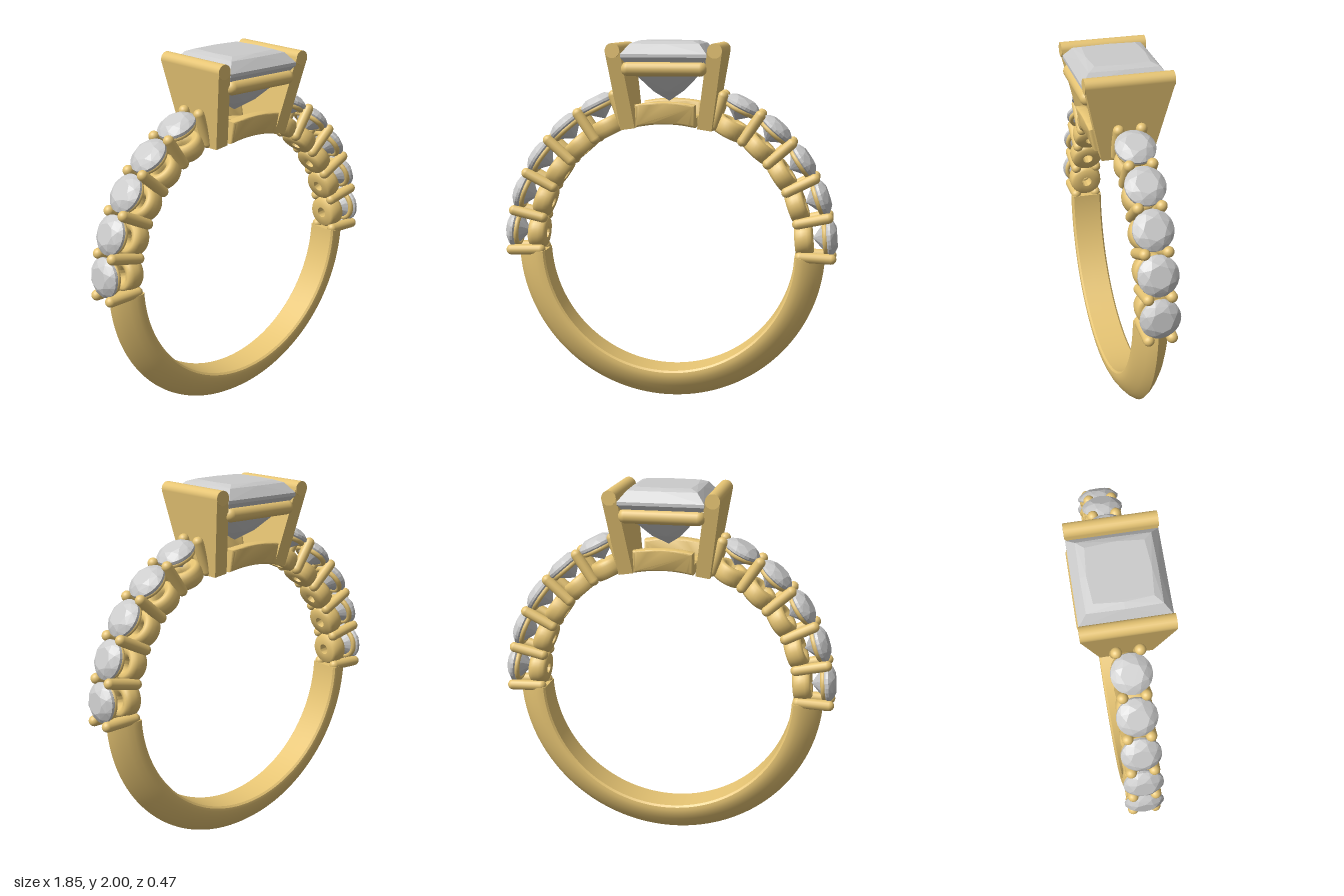
import * as THREE from 'three';
import { toCreasedNormals } from 'three/addons/utils/BufferGeometryUtils.js';
import { ConvexGeometry } from 'three/addons/geometries/ConvexGeometry.js';

const gold = new THREE.MeshStandardMaterial({ color: 0xe6c473, side: THREE.DoubleSide });
const gemMat = new THREE.MeshStandardMaterial({ color: 0xcccccc, flatShading: true });
const RING_Y = 0.865, INNER = 0.695;
const rad = THREE.MathUtils.degToRad;
const V2 = (x, y) => new THREE.Vector2(x, y);

function add(parent, name, geometry, material = gold) {
  const mesh = new THREE.Mesh(geometry, material);
  mesh.name = name;
  parent.add(mesh);
  return mesh;
}

// Round faceted stone: girdle at y = 0, table above, point below
function roundGem() {
  const pts = [new THREE.Vector3(0, -0.09, 0)];
  const ring = (n, r, y, offset) => {
    for (let i = 0; i < n; i++) {
      const a = (i + offset) / n * Math.PI * 2;
      pts.push(new THREE.Vector3(r * Math.cos(a), y, r * Math.sin(a)));
    }
  };
  ring(8, 0.058, 0.042, 0);
  ring(8, 0.085, 0.028, 0.5);
  ring(24, 0.105, 0.008, 0);
  ring(24, 0.105, -0.006, 0);
  ring(8, 0.052, -0.05, 0.5);
  return new ConvexGeometry(pts);
}

// Square faceted stone from stacked squares, edges slightly bowed
function squareGem() {
  const pts = [new THREE.Vector3(0, 1.675, 0)];
  const levels = [[1.73, 0.075, 0.002], [1.82, 0.155, 0.002], [1.895, 0.21, 0], [1.915, 0.228, 0],
    [1.932, 0.228, 0], [1.985, 0.185, 0.003], [2.0, 0.145, 0.012]];
  for (const [y, h, bow] of levels) {
    for (let i = 0; i < 4; i++) {
      const a = i * Math.PI / 2, up = new THREE.Vector3(0, 1, 0);
      pts.push(new THREE.Vector3(h, y, h).applyAxisAngle(up, a));
      if (bow) pts.push(new THREE.Vector3(h + bow, y, 0).applyAxisAngle(up, a));
    }
  }
  return new ConvexGeometry(pts);
}

// Plain lower band with a ridged outside
function addBand(group) {
  const half = [[INNER, 0.08], [0.705, 0.09], [0.722, 0.092], [0.75, 0.086], [0.785, 0.069],
    [0.82, 0.044], [0.845, 0.021]];
  const profile = [V2(INNER, 0), ...half.map(([r, z]) => V2(r, -z)), V2(0.86, 0),
    ...half.slice().reverse().map(([r, z]) => V2(r, z)), V2(INNER, 0)];
  const end = rad(87.5);
  const band = new THREE.LatheGeometry(profile, 96, -end, end * 2).rotateX(Math.PI / 2);
  add(group, 'band', toCreasedNormals(band, rad(28))).position.y = RING_Y;
  for (const side of [0, 1]) {
    const cap = new THREE.ShapeGeometry(new THREE.Shape(profile)).rotateX(Math.PI / 2);
    cap.rotateZ(side ? Math.PI + rad(2.5) : -rad(2.5));
    add(group, 'bandEnd', cap).position.y = RING_Y;
  }
}

// One shoulder: five set stones between six pairs of prongs
function addShoulder(group) {
  const shoulder = new THREE.Group();
  shoulder.name = 'shoulder';
  shoulder.position.y = RING_Y;
  group.add(shoulder);
  const gem = roundGem();
  const prong = new THREE.CapsuleGeometry(0.029, 0.167, 6, 16);
  const cupProfile = [[0.03, 0.697], [0.078, 0.697], [0.089, 0.71], [0.094, 0.735], [0.094, 0.765],
    [0.088, 0.785], [0.075, 0.795], [0.05, 0.79], [0.03, 0.76], [0.03, 0.697]];
  const cup = toCreasedNormals(new THREE.LatheGeometry(cupProfile.map(p => V2(...p)), 32), rad(50));
  const seat = new THREE.TorusGeometry(0.083, 0.015, 10, 32).rotateX(Math.PI / 2);
  const step = 14.5, start = -2;
  for (let i = 0; i < 6; i++) {
    const spoke = new THREE.Group();
    spoke.name = 'prongPair';
    spoke.rotation.z = rad(start + i * step - 90);
    shoulder.add(spoke);
    for (const s of [-1, 1]) add(spoke, 'prong', prong).position.set(0, 0.809, s * 0.06);
    if (i === 5) break;
    const setting = new THREE.Group();
    setting.name = 'stoneSetting';
    setting.rotation.z = rad(start + (i + 0.5) * step - 90);
    shoulder.add(setting);
    add(setting, 'cup', cup);
    add(setting, 'seatRing', seat).position.y = 0.862;
    add(setting, 'smallStone', gem, gemMat).position.y = 0.884;
  }
  return shoulder;
}

// Tilted tapering plate with a rounded top edge
function addPlate(group) {
  const plate = new THREE.Group();
  plate.name = 'headPlate';
  const shape = new THREE.Shape([V2(-0.135, -0.425), V2(0.135, -0.425), V2(0.231, 0), V2(-0.231, 0)]);
  const slab = new THREE.ExtrudeGeometry(shape, { depth: 0.078, bevelEnabled: false });
  add(plate, 'plate', slab.translate(0, 0, -0.039).rotateY(Math.PI / 2));
  const edge = new THREE.CylinderGeometry(0.039, 0.039, 0.462, 24).rotateX(Math.PI / 2);
  add(plate, 'roundedEdge', edge);
  plate.position.set(0.27, 1.95, 0);
  plate.rotation.z = -0.148;
  const holder = new THREE.Group();
  holder.name = 'headSide';
  holder.add(plate);
  group.add(holder);
  return holder;
}

// Arched gallery under the main stone: two walls and a floor with a square hole
function addGallery(group) {
  const arch = (w, rIn, rOut) => {
    const s = new THREE.Shape();
    const a = Math.asin(w / rIn), b = Math.asin(w / rOut);
    s.absarc(0, 0, rIn, Math.PI / 2 + a, Math.PI / 2 - a, true);
    s.absarc(0, 0, rOut, Math.PI / 2 - b, Math.PI / 2 + b, false);
    return s;
  };
  const wall = new THREE.ExtrudeGeometry(arch(0.15, INNER + 0.012, 0.803),
    { depth: 0.04, bevelSize: 0.012, bevelThickness: 0.012, bevelSegments: 4, curveSegments: 16 });
  const p = wall.attributes.position;
  // lean the wall outwards with height
  for (let i = 0; i < p.count; i++) p.setZ(i, p.getZ(i) + 0.108 + (p.getY(i) - INNER) * 0.2);
  wall.computeVertexNormals();
  for (const side of [0, 1]) {
    const m = add(group, 'galleryWall', toCreasedNormals(wall, rad(40)));
    m.position.y = RING_Y;
    m.rotation.y = side * Math.PI;
    const strip = new THREE.ExtrudeGeometry(arch(0.16, INNER, 0.745), { depth: 0.09, bevelEnabled: false });
    const floor = add(group, 'galleryFloor', strip.translate(0, 0, 0.042));
    floor.position.y = RING_Y;
    floor.rotation.y = side * Math.PI;
    const x = side ? -0.105 : 0.105;
    add(group, 'galleryFloorSide', new THREE.BoxGeometry(0.125, 0.05, 0.1)).position.set(x, 1.577, 0);
  }
}

export function createModel() {
  const group = new THREE.Group();
  group.name = 'ring';
  addBand(group);
  for (const turn of [0, Math.PI]) {
    addShoulder(group).rotation.y = turn;
    addPlate(group).rotation.y = turn;
  }
  addGallery(group);
  // Rails carrying the main stone
  for (const s of [-1, 1]) {
    const rail = new THREE.CapsuleGeometry(0.039, 0.382, 8, 20).rotateZ(Math.PI / 2);
    add(group, 'rail', rail).position.set(0, 1.855, s * 0.195);
  }
  add(group, 'mainStone', squareGem(), gemMat);
  return group;
}
